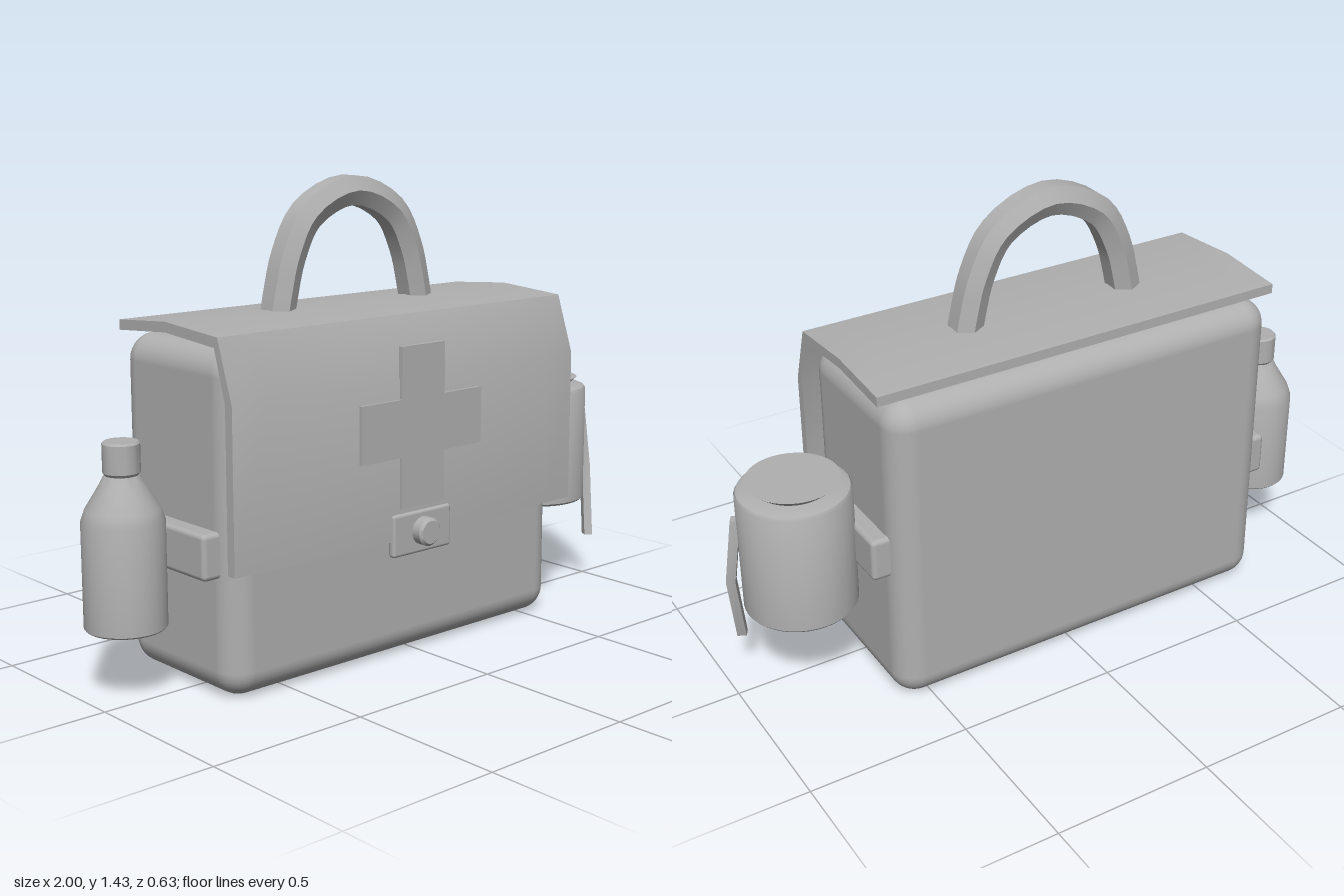
import * as THREE from 'three';
import { toCreasedNormals } from 'three/addons/utils/BufferGeometryUtils.js';
import { RoundedBoxGeometry } from 'three/addons/geometries/RoundedBoxGeometry.js';

const CX = -0.053, CZ = -0.055; // centre of the bag body

// Sweep a convex section (counter-clockwise [normal, side] pairs) along points
function sweep(points, side, section) {
  const rings = points.map((p, i) => {
    const t = points[Math.min(i + 1, points.length - 1)].clone()
      .sub(points[Math.max(i - 1, 0)]).normalize();
    const n = side.clone().cross(t).normalize();
    return section.map(([a, b]) => p.clone().addScaledVector(n, a).addScaledVector(side, b));
  });
  const tris = [];
  const m = section.length, last = rings[rings.length - 1];
  for (let i = 0; i < rings.length - 1; i++) {
    for (let j = 0; j < m; j++) {
      const k = (j + 1) % m, A = rings[i], B = rings[i + 1];
      tris.push(A[j], A[k], B[k], A[j], B[k], B[j]);
    }
  }
  for (let j = 1; j < m - 1; j++) {
    tris.push(rings[0][0], rings[0][j + 1], rings[0][j], last[0], last[j], last[j + 1]);
  }
  return toCreasedNormals(new THREE.BufferGeometry().setFromPoints(tris), 0.6);
}

function lathe(profile, segments = 32) {
  const pts = profile.map(([r, y]) => new THREE.Vector2(r, y));
  return toCreasedNormals(new THREE.LatheGeometry(pts, segments), 0.6);
}

function shapeOf(points) {
  return new THREE.Shape(points.map(([x, y]) => new THREE.Vector2(x, y)));
}

export function createModel() {
  const model = new THREE.Group();
  model.name = 'firstAidBag';
  const grey = new THREE.MeshStandardMaterial({ color: 0xb0b0b0 });
  grey.name = 'grey';

  const add = (name, geometry, x = 0, y = 0, z = 0) => {
    const mesh = new THREE.Mesh(geometry, grey);
    mesh.name = name;
    mesh.position.set(x, y, z);
    model.add(mesh);
    return mesh;
  };

  // Bag body
  add('body', new RoundedBoxGeometry(1.315, 1, 0.52, 5, 0.08), CX, 0.5, CZ);

  // Flap: bent sheet, its front bowed slightly outwards
  const flapWidth = 1.36;
  const flap = new THREE.ExtrudeGeometry(shapeOf([
    [-0.275, 1.01], [-0.05, 1.027], [0.175, 1.01], [0.22, 0.86], [0.22, 0.385],
    [0.25, 0.385], [0.25, 0.86], [0.19, 1.04], [-0.05, 1.057], [-0.275, 1.04],
  ]), { depth: flapWidth, steps: 12, bevelEnabled: false });
  flap.rotateY(-Math.PI / 2).translate(flapWidth / 2, 0, 0);
  const pos = flap.attributes.position;
  for (let i = 0; i < pos.count; i++) {
    const u = pos.getX(i) / (flapWidth / 2);
    if (pos.getY(i) < 0.9) pos.setZ(i, pos.getZ(i) + 0.02 * (1 - u * u));
  }
  add('flap', toCreasedNormals(flap, 0.5), CX);

  // Cross plate
  const w = 0.086, h = 0.241;
  const cross = shapeOf([
    [w, w], [w, h], [-w, h], [-w, w], [-h, w], [-h, -w],
    [-w, -w], [-w, -h], [w, -h], [w, -w], [h, -w], [h, w],
  ]);
  add('cross', new THREE.ExtrudeGeometry(cross, { depth: 0.014, bevelEnabled: false }), CX, 0.721, 0.264);

  // Clasp tab and button
  add('claspTab', new RoundedBoxGeometry(0.235, 0.13, 0.026, 2, 0.01), CX, 0.4, 0.265);
  const button = lathe([[0, 0], [0.043, 0], [0.043, 0.035], [0.035, 0.043], [0, 0.043]], 24);
  button.rotateX(Math.PI / 2);
  add('claspButton', button, CX, 0.403, 0.272);

  // Carrying handle with a six-sided section, and its feet
  const half = [[0.285, 1.0], [0.265, 1.1], [0.234, 1.21], [0.165, 1.325]];
  const arch = [
    ...half.map(([x, y]) => new THREE.Vector3(-x, y, 0)),
    new THREE.Vector3(0, 1.391, 0),
    ...half.reverse().map(([x, y]) => new THREE.Vector3(x, y, 0)),
  ];
  const archPoints = new THREE.CatmullRomCurve3(arch).getPoints(32);
  const hexagon = [[0.044, -0.028], [0.044, 0.028], [0, 0.052], [-0.044, 0.028], [-0.044, -0.028], [0, -0.052]];
  add('handle', sweep(archPoints, new THREE.Vector3(0, 0, 1), hexagon), CX, 0, -0.052);
  for (const s of [-1, 1]) {
    add('handleFoot', new THREE.BoxGeometry(0.14, 0.05, 0.145), CX + s * 0.28, 1.01, -0.05);
  }

  // Side brackets
  add('cupBracket', new RoundedBoxGeometry(0.08, 0.135, 0.41, 2, 0.015), 0.617, 0.502, CZ);
  add('bottleBracket', new RoundedBoxGeometry(0.08, 0.135, 0.41, 2, 0.015), -0.723, 0.422, CZ);

  // Bottle with cap
  add('bottle', lathe([
    [0, 0.205], [0.113, 0.205], [0.118, 0.21], [0.118, 0.515], [0.106, 0.55],
    [0.066, 0.615], [0.05, 0.645], [0, 0.645],
  ]), -0.882, 0, -0.06);
  add('bottleCap', lathe([
    [0, 0.645], [0.047, 0.645], [0.053, 0.653], [0.053, 0.734], [0.048, 0.74], [0, 0.74],
  ]), -0.882, 0, -0.06);

  // Cup with a flared lid
  add('cup', lathe([
    [0, 0.305], [0.163, 0.305], [0.169, 0.312], [0.169, 0.685], [0.163, 0.695], [0.15, 0.7], [0, 0.7],
  ], 40), 0.795, 0, -0.053);
  add('cupLid', lathe([[0, 0.7], [0.108, 0.7], [0.138, 0.725], [0, 0.725]], 40), 0.795, 0, -0.053);

  // Bent strap hanging on the cup
  const strapPath = [[0.953, 0.605, 0.01], [0.981, 0.4, 0.016], [0.945, 0.163, 0.065]]
    .map((p) => new THREE.Vector3(...p));
  const s = 0.014;
  add('cupStrap', sweep(strapPath, new THREE.Vector3(-0.5, 0, 0.866),
    [[s, -s], [s, s], [-s, s], [-s, -s]]));

  return model;
}
